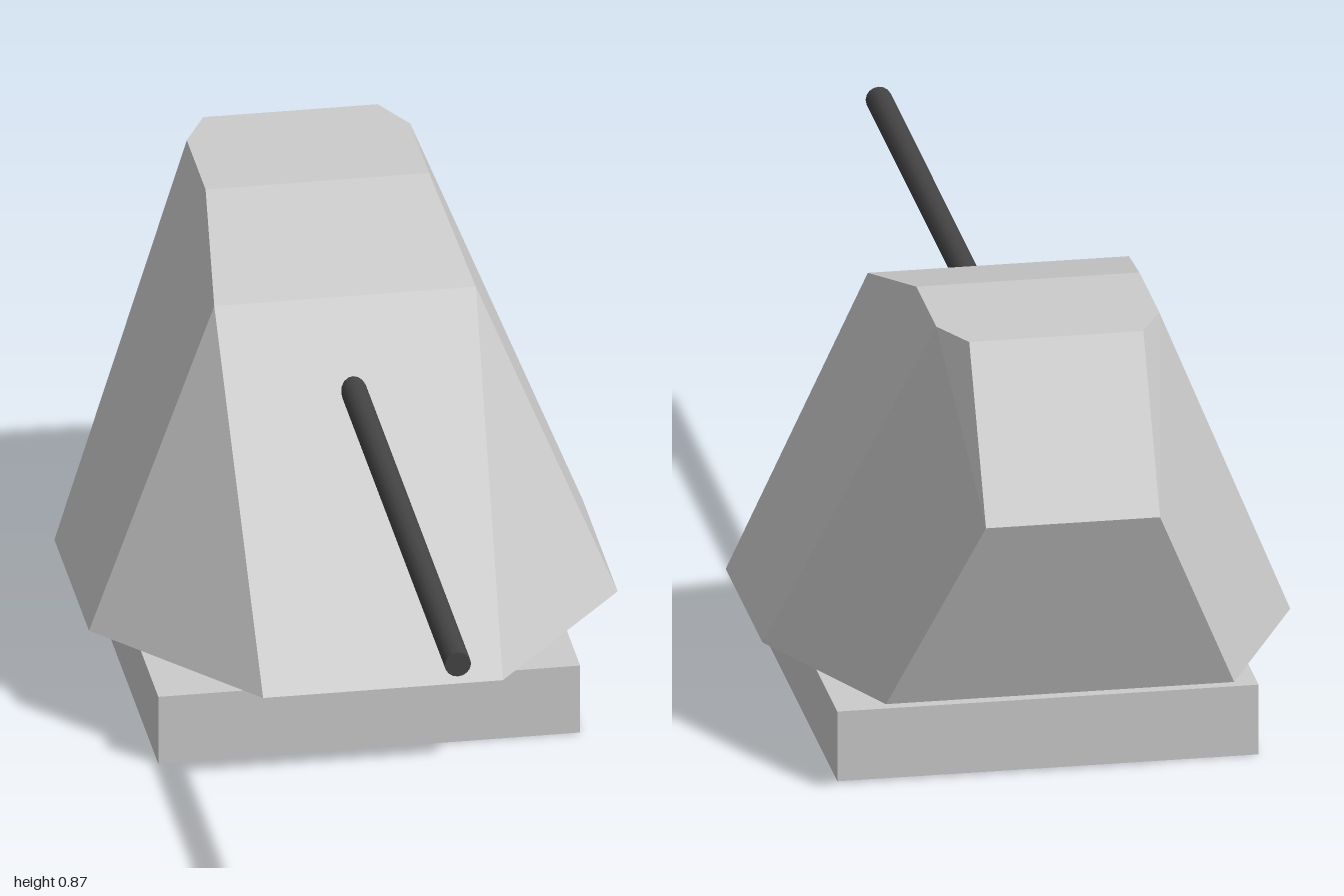
import * as THREE from 'three';
import { ConvexGeometry } from 'three/addons/geometries/ConvexGeometry.js';

const grey = new THREE.MeshStandardMaterial({ color: 0xcccccc, flatShading: true });
const dark = new THREE.MeshStandardMaterial({ color: 0x444444 });
const PIVOT_Z = -0.355;

function addPart(group, name, geometry, material, x, y, z) {
  const mesh = new THREE.Mesh(geometry, material);
  mesh.name = name;
  mesh.position.set(x, y, z);
  group.add(mesh);
  return mesh;
}

export function createModel() {
  const group = new THREE.Group();
  group.name = 'gunTurret';

  // Square plinth and octagonal turning ring
  addPart(group, 'base', new THREE.BoxGeometry(0.774, 0.135, 0.774), grey, 0, 0.0675, PIVOT_Z);
  addPart(group, 'turningRing', new THREE.CylinderGeometry(0.296, 0.296, 0.057, 8), grey, 0, 0.1635, PIVOT_Z);

  // Faceted housing: corners of the left half, mirrored to the right
  const half = [
    [0.22, 0.192, 0.182], [0.485, 0.192, -0.142], [0.485, 0.192, -0.52], [0.32, 0.192, -0.867], // floor
    [0.24, 0.783, -0.232], // brow
    [0.205, 0.868, -0.535], [0.205, 0.868, -0.74], [0.16, 0.868, -0.828], // roof
    [0.16, 0.572, -1], // rear ridge
  ];
  const corners = half.flatMap(([x, y, z]) => [new THREE.Vector3(x, y, z), new THREE.Vector3(-x, y, z)]);
  addPart(group, 'housing', new ConvexGeometry(corners), grey, 0, 0, 0);

  // Barrel, its rear end buried in the housing
  const barrelBack = -0.2;
  const barrelLength = 1 - barrelBack;
  const barrelGeometry = new THREE.CylinderGeometry(0.024, 0.024, barrelLength, 16).rotateX(Math.PI / 2);
  addPart(group, 'barrel', barrelGeometry, dark, 0, 0.639, barrelBack + barrelLength / 2);

  return group;
}
